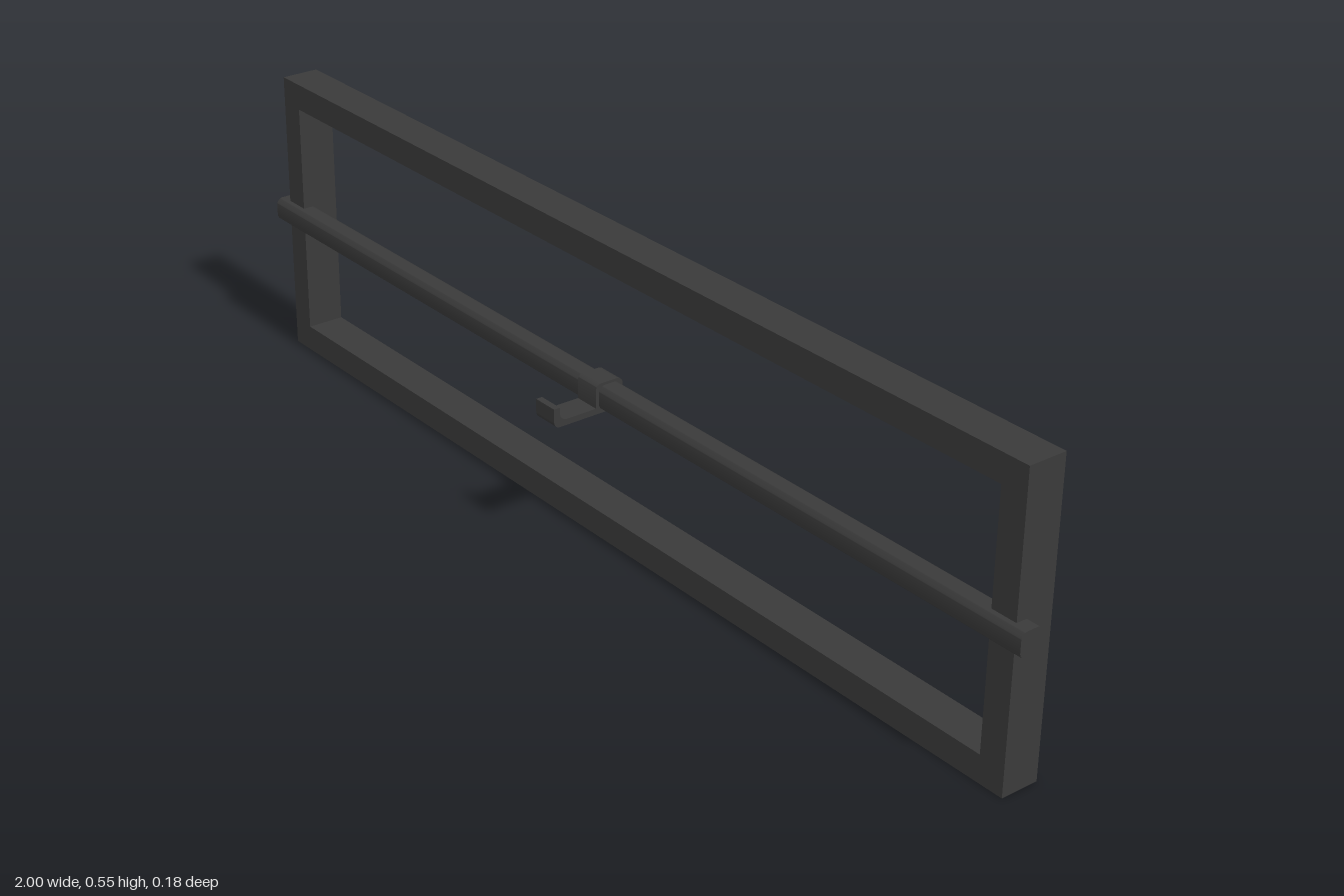
import * as THREE from 'three';
import { toCreasedNormals } from 'three/addons/utils/BufferGeometryUtils.js';

const material = new THREE.MeshStandardMaterial({ color: 0x3a3a3a });

// Rounded rectangle traced counter-clockwise
function roundedRect(path, x0, y0, x1, y1, r) {
  path.moveTo(x0 + r, y0);
  path.lineTo(x1 - r, y0);
  path.absarc(x1 - r, y0 + r, r, -Math.PI / 2, 0);
  path.lineTo(x1, y1 - r);
  path.absarc(x1 - r, y1 - r, r, 0, Math.PI / 2);
  path.lineTo(x0 + r, y1);
  path.absarc(x0 + r, y1 - r, r, Math.PI / 2, Math.PI);
  path.lineTo(x0, y0 + r);
  path.absarc(x0 + r, y0 + r, r, Math.PI, Math.PI * 1.5);
  return path;
}

function rectangle(path, x0, y0, x1, y1) {
  return path.setFromPoints([[x0, y0], [x1, y0], [x1, y1], [x0, y1], [x0, y0]]
    .map(([x, y]) => new THREE.Vector2(x, y)));
}

function extrude(name, shape, depth) {
  const geometry = new THREE.ExtrudeGeometry(shape, { depth, bevelEnabled: false, curveSegments: 8 });
  const mesh = new THREE.Mesh(toCreasedNormals(geometry, 0.5), material);
  mesh.name = name;
  return mesh;
}

// Side profile (u = -z, y) extruded along x and centred
function extrudeAcross(name, shape, width) {
  const mesh = extrude(name, shape, width);
  mesh.geometry.translate(0, 0, -width / 2).rotateY(Math.PI / 2);
  return mesh;
}

export function createModel() {
  const model = new THREE.Group();
  model.name = 'wallRack';

  // Rectangular frame
  const frameShape = rectangle(new THREE.Shape(), -0.975, 0, 0.975, 0.552);
  frameShape.holes.push(rectangle(new THREE.Path(), -0.925, 0.05, 0.925, 0.502));
  const frame = extrude('frame', frameShape, 0.072);
  frame.position.z = -0.09;
  model.add(frame);

  // Rounded square rail set into the front of the frame
  model.add(extrudeAcross('rail', roundedRect(new THREE.Shape(), 0.003, 0.255, 0.047, 0.3, 0.013), 2));

  // Sliding sleeve with its hook in one profile
  const hook = new THREE.Shape();
  hook.moveTo(-0.078, 0.25);
  hook.lineTo(0.04, 0.25);
  hook.absarc(0.04, 0.263, 0.013, -Math.PI / 2, 0);
  hook.lineTo(0.053, 0.292);
  hook.absarc(0.04, 0.292, 0.013, 0, Math.PI / 2);
  hook.lineTo(0.007, 0.305);
  hook.absarc(0.007, 0.295, 0.01, Math.PI / 2, Math.PI);
  hook.lineTo(-0.003, 0.261);
  hook.lineTo(-0.064, 0.261);
  hook.absarc(-0.064, 0.275, 0.014, -Math.PI / 2, -Math.PI, true);
  hook.lineTo(-0.078, 0.286);
  hook.lineTo(-0.09, 0.286);
  hook.lineTo(-0.09, 0.262);
  hook.absarc(-0.078, 0.262, 0.012, Math.PI, Math.PI * 1.5);
  hook.holes.push(roundedRect(new THREE.Path(), 0.003, 0.255, 0.047, 0.3, 0.013));
  model.add(extrudeAcross('slidingHook', hook, 0.05));

  return model;
}
